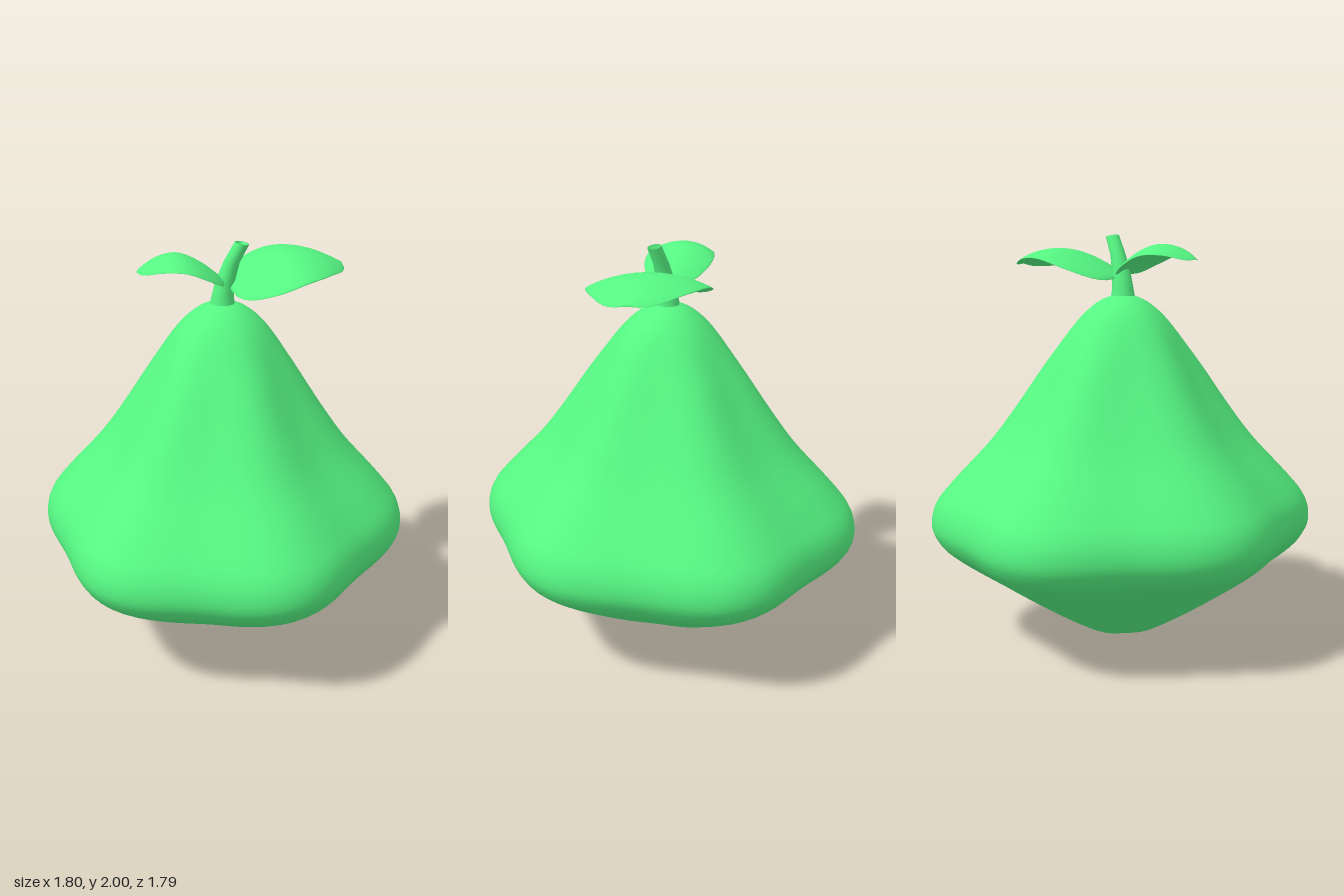
import * as THREE from 'three';
import { mergeVertices } from 'three/addons/utils/BufferGeometryUtils.js';

const green = new THREE.MeshStandardMaterial({ color: 0x55f582, side: THREE.DoubleSide });

// Moves every vertex by a rule, then welds seams for smooth normals
function reshape(geometry, rule) {
  const pos = geometry.attributes.position;
  const p = new THREE.Vector3();
  for (let i = 0; i < pos.count; i++) {
    rule(p.fromBufferAttribute(pos, i));
    pos.setXYZ(i, p.x, p.y, p.z);
  }
  geometry.deleteAttribute('uv');
  geometry.deleteAttribute('normal');
  const welded = mergeVertices(geometry, 1e-4);
  welded.computeVertexNormals();
  return welded;
}

function part(name, geometry) {
  const mesh = new THREE.Mesh(geometry, green);
  mesh.name = name;
  return mesh;
}

// Pear-like body: a lathe profile pressed into six soft corners
function makeBody() {
  const profile = [
    [0, 0.01], [0.17, 0.06], [0.36, 0.165], [0.57, 0.3], [0.8, 0.46], [0.875, 0.54],
    [0.9, 0.62], [0.875, 0.72], [0.79, 0.83], [0.62, 1.02], [0.49, 1.2],
    [0.34, 1.43], [0.22, 1.6], [0.13, 1.685], [0.055, 1.72], [0, 1.722],
  ].map(([x, y]) => new THREE.Vector2(x, y));
  const points = new THREE.SplineCurve(profile).getPoints(75);
  points.forEach((q) => { q.x = Math.max(q.x, 0); });
  points[0].x = points[points.length - 1].x = 0;
  return part('body', reshape(new THREE.LatheGeometry(points, 96), (p) => {
    const angle = Math.atan2(p.z, p.x);
    const fade = 1 - THREE.MathUtils.smoothstep(p.y, 1.3, 1.72);
    const press = 1 - 0.039 * fade * (1 - Math.cos(6 * angle));
    p.x *= press;
    p.z *= press * (1 + 0.07 * fade);
  }));
}

// Bent, tapering stem with a slightly hollow cut end
function makeStem() {
  const profile = [
    [0.058, 0], [0.053, 0.03], [0.046, 0.1], [0.037, 0.2], [0.033, 0.29], [0.026, 0.29], [0.022, 0.27], [0, 0.265],
  ].map(([x, y]) => new THREE.Vector2(x, y));
  return part('stem', reshape(new THREE.LatheGeometry(profile, 24), (p) => {
    const t = p.y / 0.29;
    p.y += 1.72 - 0.2 * p.x * t * t - 0.005 * t;
    p.x += 0.09 * t * t;
  }));
}

// Thin arched leaf with a round base and a pointed tip
function makeLeaf(name, { length, width, ridge, droop, tilt, turn, base }) {
  const curve = new THREE.SplineCurve(ridge.map(([x, y]) => new THREE.Vector2(x, y)));
  const geometry = new THREE.SphereGeometry(1, 32, 32).rotateZ(-Math.PI / 2);
  const leaf = reshape(geometry, (p) => {
    const u = 1 - Math.acos(THREE.MathUtils.clamp(p.x, -1, 1)) / Math.PI;
    const r = Math.hypot(p.y, p.z);
    const across = r > 1e-5 ? p.z / r : 0;
    const up = r > 1e-5 ? p.y / r : 0;
    const spread = Math.sqrt(u) * Math.pow(1 - u, 0.7) / 0.44;
    const mid = curve.getPoint(u);
    p.set(
      mid.x * length,
      mid.y - spread * (droop * across * across + tilt * across) + 0.01 * up * Math.min(1, spread),
      across * width * spread,
    );
  });
  leaf.rotateY(turn).translate(...base);
  return part(name, leaf);
}

export function createModel() {
  const model = new THREE.Group();
  model.name = 'fruit';
  model.add(
    makeBody(),
    makeStem(),
    makeLeaf('largeLeaf', {
      length: 0.58, width: 0.285, droop: 0.06, tilt: 0.02, turn: 0.436, base: [0.02, 0, 0],
      ridge: [[0, 1.805], [0.25, 1.885], [0.5, 1.935], [0.75, 1.925], [1, 1.87]],
    }),
    makeLeaf('smallLeaf', {
      length: 0.405, width: 0.165, droop: 0.045, tilt: 0, turn: Math.PI + 0.37, base: [0, 0, 0],
      ridge: [[0, 1.835], [0.25, 1.91], [0.5, 1.955], [0.75, 1.945], [1, 1.895]],
    }),
  );
  return model;
}
